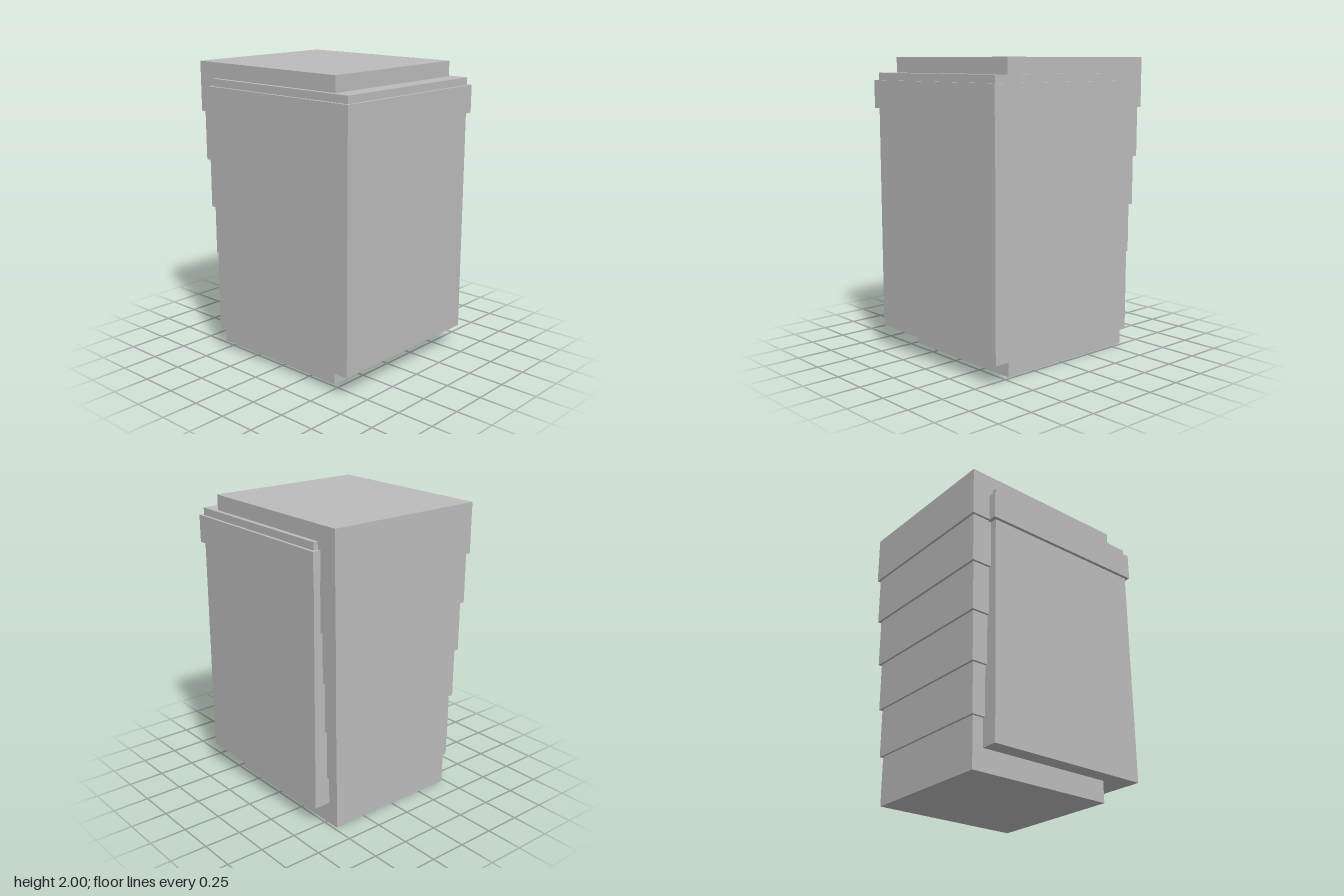
import * as THREE from 'three';

export function createModel() {
  const group = new THREE.Group();
  const grey = new THREE.MeshStandardMaterial({ name: 'plain grey', color: 0xbbbbbb });

  // Box given by its half width and its y and z extents
  function addBox(name, halfWidth, y0, y1, z0, z1) {
    const geometry = new THREE.BoxGeometry(2 * halfWidth, y1 - y0, z1 - z0);
    const mesh = new THREE.Mesh(geometry, grey);
    mesh.name = name;
    mesh.position.set(0, (y0 + y1) / 2, (z0 + z1) / 2);
    group.add(mesh);
  }

  // Core of six stacked tiers, each a little larger than the one below
  const tiers = 6;
  for (let i = 0; i < tiers; i++) {
    const grow = 0.016 * i;
    addBox(`coreTier${i + 1}`, 0.48 + grow, (2 * i) / tiers, (2 * (i + 1)) / tiers, -0.6 - grow, 0.455 + grow);
  }

  // Outer casing around the front and sides
  addBox('casing', 0.592, 0.147, 1.897, -0.523, 0.66);

  // Raised band near the top of the casing
  addBox('band', 0.614, 1.662, 1.848, -0.548, 0.682);

  return group;
}
